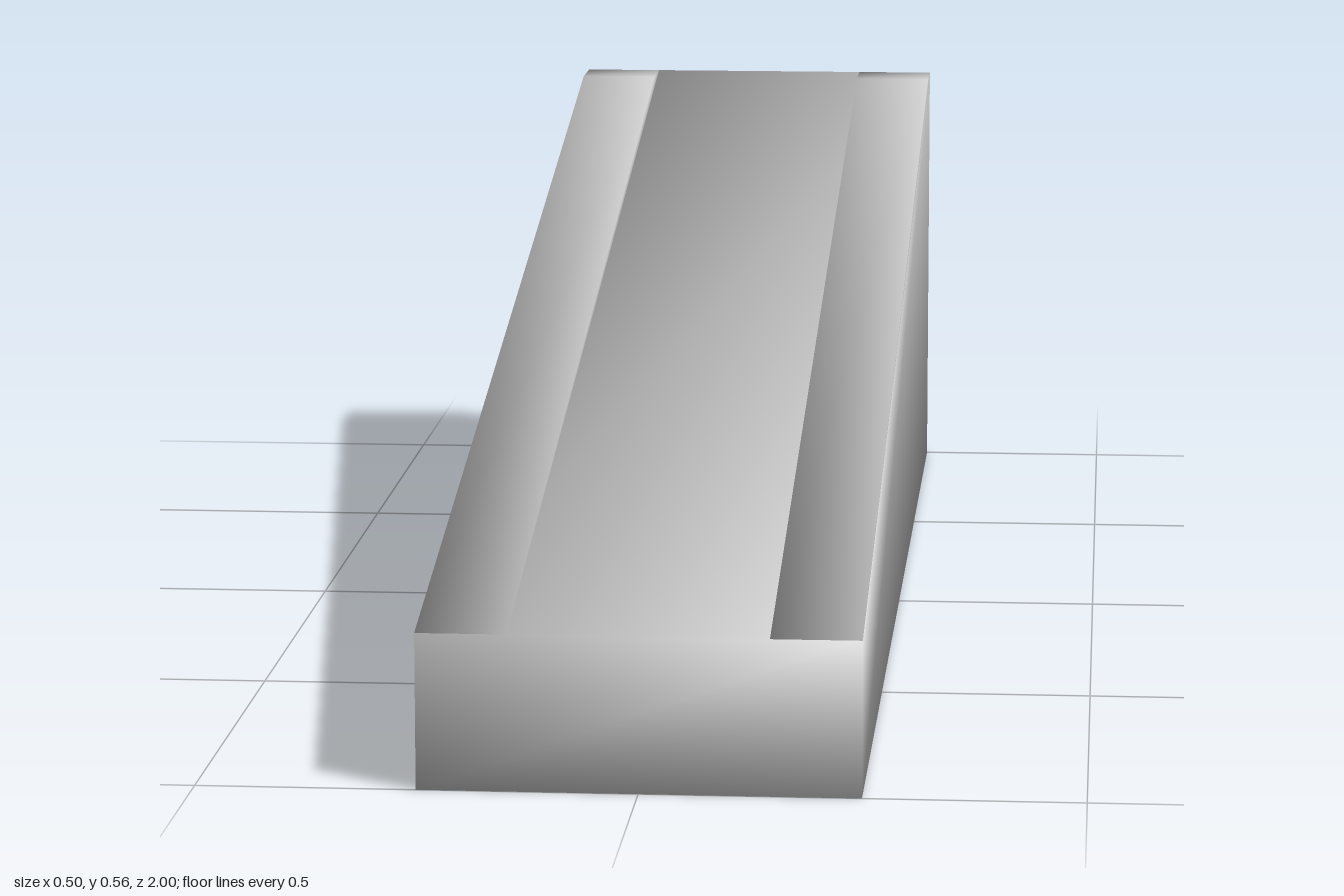
import * as THREE from 'three';

// Convex [z, y] profile swept from x0 to x1, with smooth normals shared at each corner.
// Points run counterclockwise as seen from +x.
function smoothPrism(profile, x0, x1) {
  const n = profile.length;
  const edgeNormal = (i) => {
    const [z0, y0] = profile[i % n], [z1, y1] = profile[(i + 1) % n];
    return new THREE.Vector3(0, z1 - z0, y0 - y1).normalize();
  };
  const positions = [], normals = [], index = [];
  for (const [x, side] of [[x1, 1], [x0, -1]]) {
    profile.forEach(([z, y], i) => {
      positions.push(x, y, z);
      const normal = edgeNormal(i).add(edgeNormal(i + n - 1));
      normal.x = side;
      normals.push(...normal.normalize().toArray());
    });
  }
  for (let i = 0; i < n; i++) {
    const j = (i + 1) % n;
    index.push(i, i + n, j + n, i, j + n, j);
  }
  // end caps
  for (let i = 1; i < n - 1; i++) {
    index.push(0, i, i + 1, n, n + i + 1, n + i);
  }
  const geometry = new THREE.BufferGeometry();
  geometry.setAttribute('position', new THREE.Float32BufferAttribute(positions, 3));
  geometry.setAttribute('normal', new THREE.Float32BufferAttribute(normals, 3));
  geometry.setIndex(index);
  return geometry;
}

export function createModel() {
  const model = new THREE.Group();
  model.name = 'ramp';
  const material = new THREE.MeshStandardMaterial({ color: 0xcccccc });
  const add = (name, geometry) => {
    const mesh = new THREE.Mesh(geometry, material);
    mesh.name = name;
    model.add(mesh);
  };

  const halfWidth = 0.25, railInner = 0.147;
  const low = 0.18, high = 0.565;

  // sloping wedge body
  add('rampBody', smoothPrism([[1, 0], [-1, 0], [-1, high], [1, low]], -halfWidth, halfWidth));

  // thin raised rails, levelling off at the back
  const railProfile = [[1, low], [-1, high], [-0.92, high]];
  add('leftRail', smoothPrism(railProfile, railInner, halfWidth));
  add('rightRail', smoothPrism(railProfile, -halfWidth, -railInner));

  return model;
}
